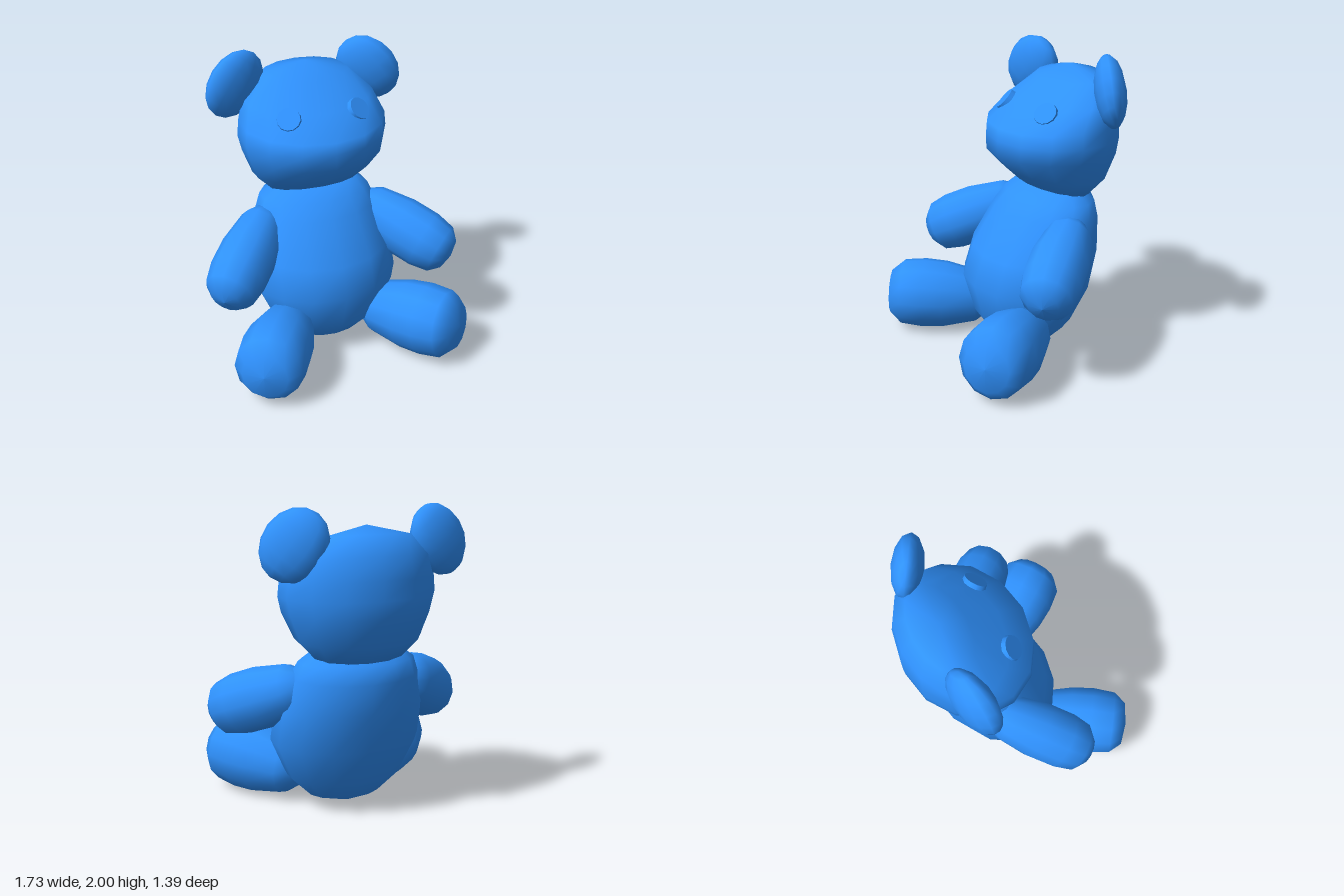
import * as THREE from 'three';
import { mergeVertices } from 'three/addons/utils/BufferGeometryUtils.js';

const blue = new THREE.MeshStandardMaterial({ color: 0x2f92ff });

function add(parent, name, geometry) {
  const mesh = new THREE.Mesh(geometry, blue);
  mesh.name = name;
  parent.add(mesh);
  return mesh;
}

// Smooth skin over tilted oval rings, each [front z, front y, back z, back y, half width]
function loft(rings, sides = 14) {
  const positions = [], index = [];
  rings.forEach(([zf, yf, zb, yb, rx], i) => {
    for (let j = 0; j < sides; j++) {
      const a = (j / sides) * Math.PI * 2;
      const t = (1 - Math.cos(a)) / 2;
      positions.push(rx * Math.sin(a), yf + (yb - yf) * t, zf + (zb - zf) * t);
      if (i === rings.length - 1) continue;
      const k = (j + 1) % sides, p = i * sides, q = p + sides;
      index.push(p + j, p + k, q + k, p + j, q + k, q + j);
    }
  });
  let g = new THREE.BufferGeometry();
  g.setAttribute('position', new THREE.Float32BufferAttribute(positions, 3));
  g.setIndex(index);
  g = mergeVertices(g);
  g.computeVertexNormals();
  return g;
}

// Lathed limb pointing along dir, with its cross-section stretched in height
function limb(parent, name, profile, center, dir, stretch) {
  const g = new THREE.LatheGeometry(profile.map(([t, r]) => new THREE.Vector2(r, t)), 12);
  g.scale(1, 1, stretch);
  const y = new THREE.Vector3(...dir).normalize();
  const x = new THREE.Vector3().crossVectors(y, new THREE.Vector3(0, 1, 0)).normalize();
  const z = new THREE.Vector3().crossVectors(x, y);
  g.applyMatrix4(new THREE.Matrix4().makeBasis(x, y, z).setPosition(...center));
  return add(parent, name, g);
}

export function createModel() {
  const bear = new THREE.Group();
  bear.name = 'teddyBear';

  // Egg-shaped body leaning back
  add(bear, 'body', loft([
    [-0.06, 0.035, -0.06, 0.035, 0],
    [0.03, 0.045, -0.15, 0.045, 0.09],
    [0.13, 0.09, -0.24, 0.09, 0.25],
    [0.24, 0.22, -0.36, 0.23, 0.39],
    [0.31, 0.48, -0.47, 0.47, 0.50],
    [0.24, 0.68, -0.54, 0.74, 0.49],
    [0.07, 0.95, -0.55, 0.93, 0.42],
    [-0.02, 1.04, -0.52, 1.04, 0.38],
    [-0.11, 1.11, -0.40, 1.12, 0.27],
    [-0.25, 1.12, -0.25, 1.12, 0],
  ]));

  // Head with a sloped face and blunt muzzle
  add(bear, 'head', loft([
    [-0.27, 1.07, -0.27, 1.07, 0],
    [-0.10, 1.12, -0.49, 1.05, 0.31],
    [0.00, 1.21, -0.60, 1.17, 0.41],
    [0.13, 1.34, -0.685, 1.36, 0.475],
    [0.125, 1.44, -0.69, 1.47, 0.50],
    [0.12, 1.52, -0.69, 1.59, 0.49],
    [-0.05, 1.65, -0.67, 1.73, 0.44],
    [-0.25, 1.79, -0.59, 1.85, 0.30],
    [-0.42, 1.89, -0.42, 1.89, 0],
  ]));

  // Flattened oval ears leaning outwards, each with its own turn
  for (const [name, s, x, z, turn] of [['leftEar', 1, 0.45, -0.41, -0.56], ['rightEar', -1, -0.47, -0.44, 0.3]]) {
    const ear = add(bear, name, new THREE.SphereGeometry(1, 12, 8));
    ear.scale.set(0.2, 0.235, 0.1);
    ear.position.set(x, 1.785, z);
    ear.rotation.set(0.12, turn, s * 0.65, 'YXZ');
  }

  // Button eyes lying on the face
  for (const [name, s] of [['leftEye', 1], ['rightEye', -1]]) {
    const eye = add(bear, name, new THREE.CylinderGeometry(0.075, 0.08, 0.03, 12));
    eye.position.set(s * 0.238, 1.64, -0.08);
    eye.quaternion.setFromUnitVectors(
      new THREE.Vector3(0, 1, 0), new THREE.Vector3(s * 0.35, 0.66, 0.66).normalize());
  }

  // Arms reaching forward and down, with blunt paws
  const arm = [[-0.42, 0], [-0.39, 0.09], [-0.28, 0.155], [-0.05, 0.19],
    [0.14, 0.19], [0.27, 0.165], [0.335, 0.1], [0.355, 0]];
  limb(bear, 'leftArm', arm, [0.56, 0.75, 0.035], [0.61, -0.36, 0.72], 1.07);
  limb(bear, 'rightArm', arm, [-0.575, 0.745, -0.015], [-0.64, -0.4, 0.65], 1.07);

  // Splayed legs, thicker towards blunt feet
  const leg = [[-0.39, 0], [-0.37, 0.1], [-0.27, 0.175], [-0.05, 0.225],
    [0.1, 0.235], [0.25, 0.22], [0.33, 0.15], [0.35, 0]];
  limb(bear, 'leftLeg', leg, [0.48, 0.25, 0.34], [0.57, 0.08, 0.82], 1.06);
  limb(bear, 'rightLeg', leg, [-0.49, 0.245, 0.325], [-0.57, 0.04, 0.82], 1.03);

  return bear;
}
